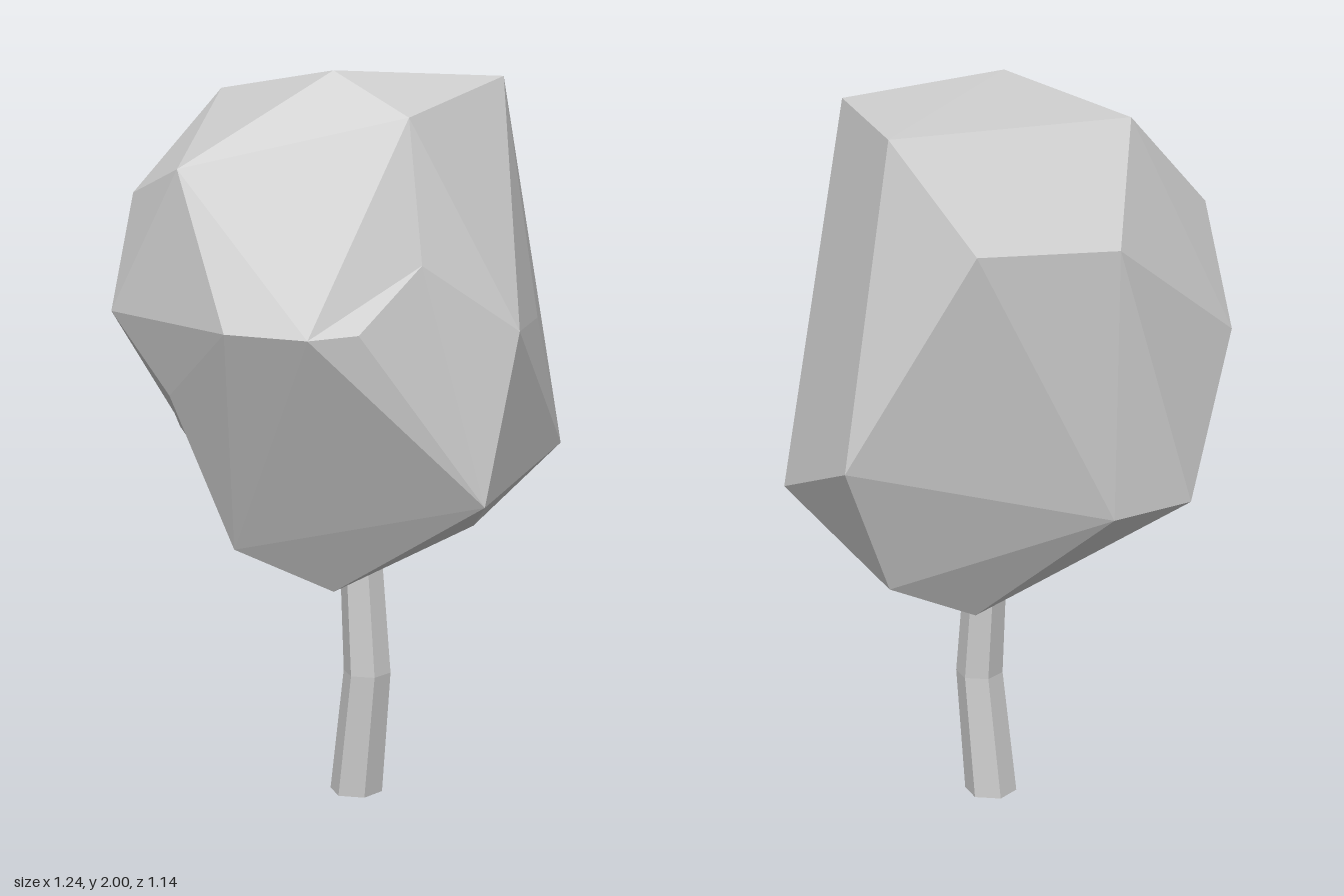
import * as THREE from 'three';
import { ConvexGeometry } from 'three/addons/geometries/ConvexGeometry.js';

const material = new THREE.MeshStandardMaterial({ color: 0xcccccc, flatShading: true });

// Corners of the crown by level; a fourth value marks a dent (how far it is pushed out while faceting)
const crownCorners = [
  // top
  [-0.24, 2.0, 0.15], [0.22, 1.97, 0.33], [0.42, 1.93, 0.01], [-0.19, 1.93, -0.3], [-0.19, 1.89, 0.36, 1.02],
  // shoulder
  [-0.57, 1.76, -0.08], [-0.46, 1.67, -0.36], [0.11, 1.66, -0.48], [0.45, 1.68, -0.29], [-0.23, 1.53, 0.44, 1.12],
  // waist
  [-0.62, 1.37, 0.13], [-0.51, 1.36, 0.31], [-0.41, 1.37, 0.39, 1.03], [0, 1.35, 0.57], [0.25, 1.34, 0.43, 1.06],
  [-0.34, 1.37, -0.53], [-0.6, 1.38, -0.3], [0.62, 1.11, 0], [-0.55, 1.17, -0.14, 1.04],
  // underside
  [0.45, 0.96, 0.36], [-0.12, 0.91, 0.56], [-0.1, 0.96, -0.57], [0.12, 0.95, -0.48], [-0.34, 0.95, -0.23, 1.25],
  [0.15, 0.77, 0.3, 1.1], [0.45, 0.75, 0], [-0.41, 0.75, -0.05], [-0.16, 0.76, -0.26, 1.04],
  [0.24, 0.64, -0.12], [-0.22, 0.63, 0.13],
];

// Facets the corners as a hull, then pulls the dented corners back in
function createCrown() {
  const centre = new THREE.Vector3(0, 1.3, 0);
  const corners = crownCorners.map(([x, y, z, push = 1]) => {
    const place = new THREE.Vector3(x, y, z);
    return { place, pushed: place.clone().sub(centre).multiplyScalar(push).add(centre) };
  });
  const geometry = new ConvexGeometry(corners.map((c) => c.pushed));
  const position = geometry.attributes.position;
  const p = new THREE.Vector3();
  for (let i = 0; i < position.count; i++) {
    p.fromBufferAttribute(position, i);
    const corner = corners.find((c) => c.pushed.distanceTo(p) < 1e-4);
    if (corner) position.setXYZ(i, ...corner.place.toArray());
  }
  geometry.computeVertexNormals();
  return geometry;
}

// Six-sided trunk, bent forward at the middle
function createTrunk() {
  const height = 0.7;
  const geometry = new THREE.CylinderGeometry(0.058, 0.073, height, 6, 2);
  geometry.rotateY(Math.PI / 2).translate(-0.012, height / 2, 0.022);
  const position = geometry.attributes.position;
  for (let i = 0; i < position.count; i++) {
    const t = position.getY(i) / height;
    const bend = t < 0.25 ? 0 : t < 0.75 ? 0.04 : 0.015;
    position.setZ(i, position.getZ(i) + bend);
  }
  geometry.computeVertexNormals();
  return geometry;
}

export function createModel() {
  const group = new THREE.Group();
  group.name = 'tree';
  const parts = { crown: createCrown(), trunk: createTrunk() };
  for (const [name, geometry] of Object.entries(parts)) {
    const mesh = new THREE.Mesh(geometry, material);
    mesh.name = name;
    group.add(mesh);
  }
  return group;
}
